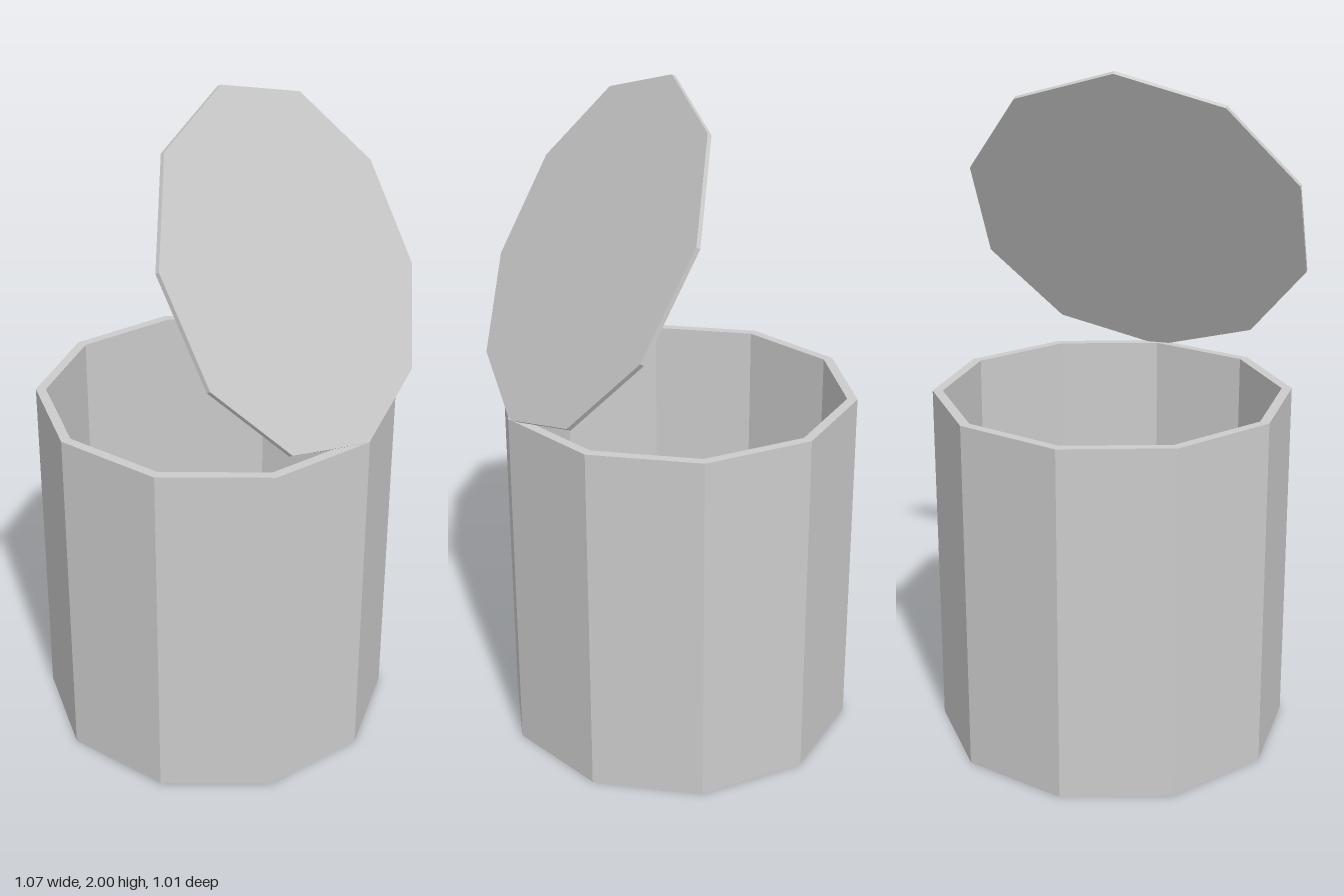
import * as THREE from 'three';

const SIDES = 10;
const RADIUS = 0.533;
const HEIGHT = 1.07;
const WALL = 0.03;
const LID_THICKNESS = 0.013;
const LID_ANGLE = THREE.MathUtils.degToRad(61.2);

export function createModel() {
  const model = new THREE.Group();
  model.name = 'openBin';
  const material = new THREE.MeshStandardMaterial({ color: 0xcccccc, flatShading: true });

  // Hollow ten-sided body: outside, rim, inside and floor, with corners on the x axis
  const inner = RADIUS - WALL;
  const profile = [
    [0, 0], [RADIUS, 0], [RADIUS, HEIGHT],
    [inner, HEIGHT], [inner, WALL], [0, WALL],
  ].map(([x, y]) => new THREE.Vector2(x, y));
  const body = new THREE.Mesh(new THREE.LatheGeometry(profile, SIDES, Math.PI / 2), material);
  body.name = 'body';
  model.add(body);

  // Thin lid swung open about the corner on the +x side of the rim
  const lidGeometry = new THREE.CylinderGeometry(
    RADIUS, RADIUS, LID_THICKNESS, SIDES, 1, false, Math.PI / 2);
  lidGeometry.translate(-RADIUS, -LID_THICKNESS / 2, 0);
  const lid = new THREE.Mesh(lidGeometry, material);
  lid.name = 'lid';
  lid.position.set(0.53, 1.066, 0);
  lid.rotation.z = -LID_ANGLE;
  model.add(lid);

  return model;
}
